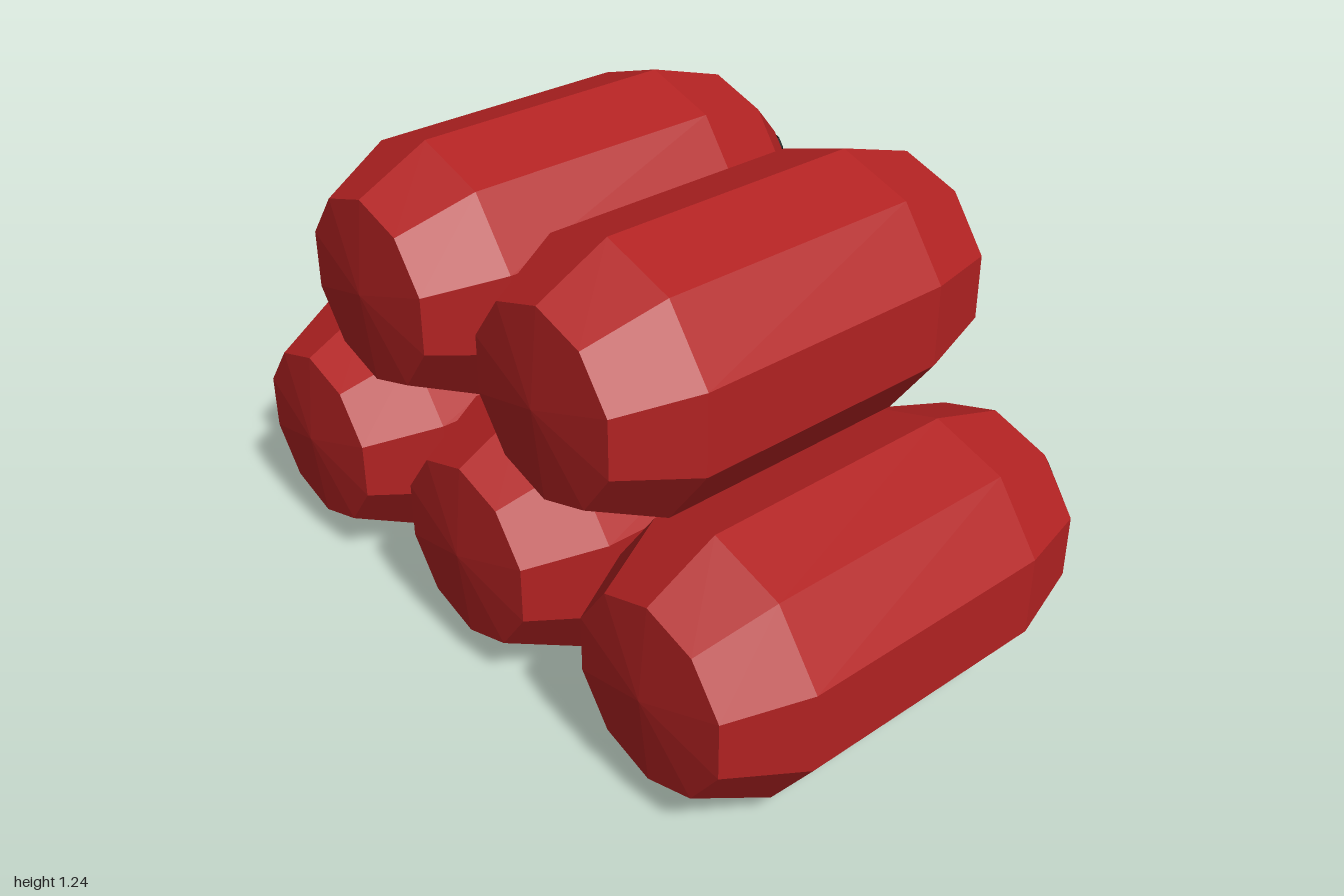
import * as THREE from 'three';

export function createModel() {
  const group = new THREE.Group();
  group.name = 'cylinderStack';

  const red = new THREE.MeshStandardMaterial({ color: 0xb22222, flatShading: true });
  const black = new THREE.MeshStandardMaterial({ color: 0x0a0a0a, flatShading: true });
  const SIDES = 10;

  // Tank profile as [radius, distance towards the back], from domed base to neck
  const profile = [
    [0, -0.675], [0.24, -0.65], [0.336, -0.46], [0.336, 0.245],
    [0.268, 0.465], [0.095, 0.63], [0, 0.63],
  ].map(([r, d]) => new THREE.Vector2(r, d));
  const tankGeometry = new THREE.LatheGeometry(profile, SIDES).rotateX(-Math.PI / 2);

  // Short valve stub behind the neck
  const valveGeometry = new THREE.CylinderGeometry(0.048, 0.048, 0.05, SIDES)
    .rotateX(-Math.PI / 2)
    .translate(0, 0, -0.65);

  function addTank(x, y) {
    const tank = new THREE.Group();
    tank.name = 'tank';
    const body = new THREE.Mesh(tankGeometry, red);
    body.name = 'tankBody';
    const valve = new THREE.Mesh(valveGeometry, black);
    valve.name = 'valve';
    tank.add(body, valve);
    tank.position.set(x, y, 0);
    group.add(tank);
  }

  // Three tanks below, two resting in the gaps above
  for (const x of [-0.68, 0, 0.68]) addTank(x, 0.34);
  for (const x of [-0.34, 0.335]) addTank(x, 0.912);

  return group;
}
